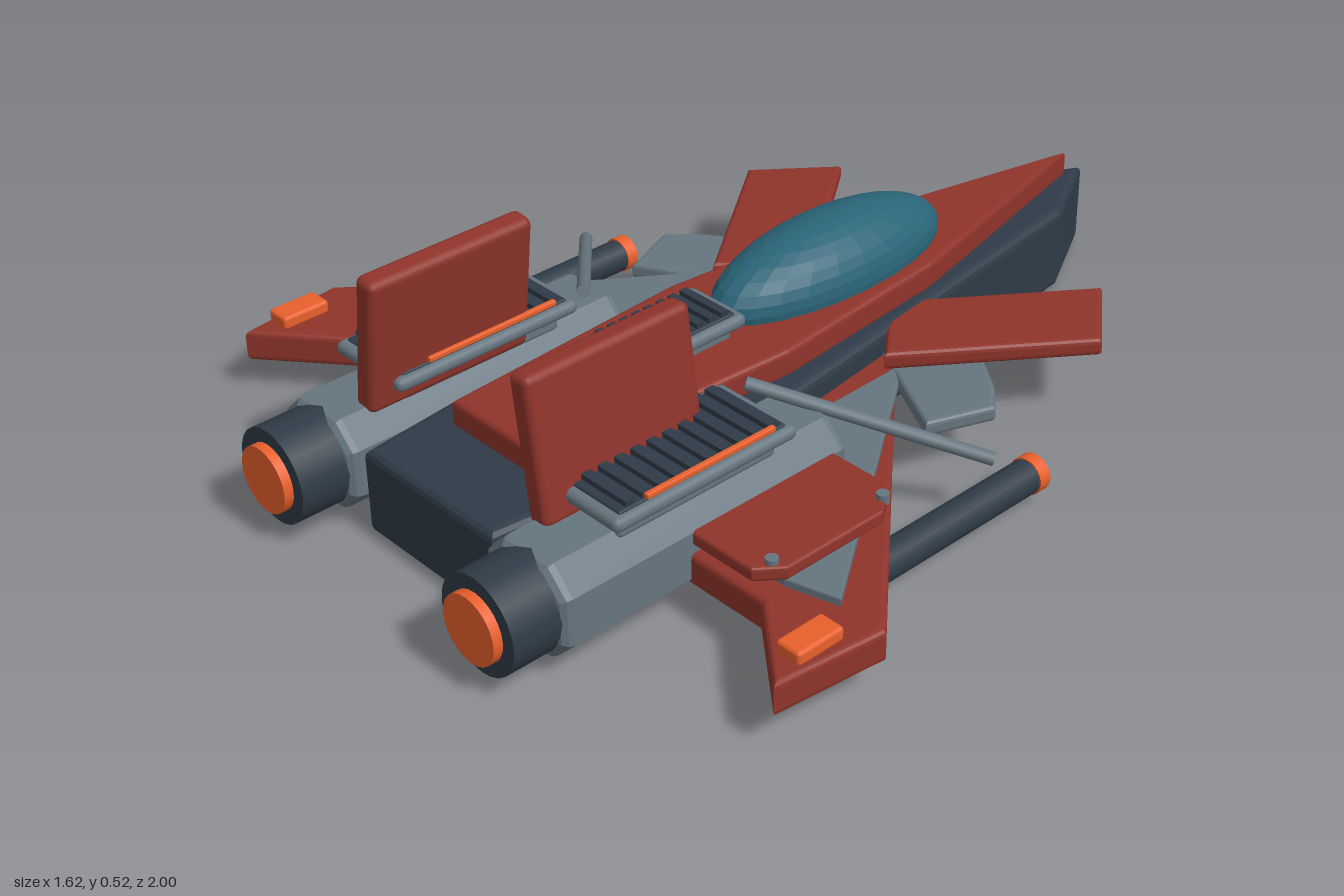
import * as THREE from 'three';
import { RoundedBoxGeometry } from 'three/addons/geometries/RoundedBoxGeometry.js';

const mat = (color, flatShading = false) => new THREE.MeshStandardMaterial({ color, flatShading });
const RED = mat(0x8f342b), DARK = mat(0x2f3b47), GREY = mat(0x66757f);
const ORANGE = mat(0xe8602c), GLASS = mat(0x2a6478, true);

export function createModel() {
  const model = new THREE.Group();

  const add = (name, geometry, material, x = 0, y = 0, z = 0) => {
    const mesh = new THREE.Mesh(geometry, material);
    mesh.name = name;
    mesh.position.set(x, y, z);
    model.add(mesh);
    return mesh;
  };

  // Bevelled extrusion whose outline stays at the given points
  const extrude = (points, depth, bevel) => new THREE.ExtrudeGeometry(
    new THREE.Shape(points.map(([x, y]) => new THREE.Vector2(x, y))),
    {
      depth: depth - 2 * bevel, bevelEnabled: true, bevelSize: bevel,
      bevelThickness: bevel, bevelOffset: -bevel, bevelSegments: 3,
    }).translate(0, 0, bevel);

  // Horizontal plate from (x, z) points, between two heights
  const plate = (name, points, y0, y1, bevel, material) =>
    add(name, extrude(points, y1 - y0, bevel).rotateX(Math.PI / 2), material, 0, y1, 0);

  // Outline mirrored across x = 0, starting with a point on the axis
  const symmetric = (pts) => [...pts, ...pts.slice(1).reverse().map(([x, z]) => [-x, z])];

  const box = (name, w, h, d, r, material, x, y, z) =>
    add(name, new RoundedBoxGeometry(w, h, d, 2, r), material, x, y, z);

  // Cylinder along z between z0 and z1
  const tubeZ = (name, r0, r1, z0, z1, material, x, y) =>
    add(name, new THREE.CylinderGeometry(r1, r0, z1 - z0, 24).rotateX(Math.PI / 2),
      material, x, y, (z0 + z1) / 2);

  // Framed grille with a row of slats
  const vent = (name, w, d, x, y, z, count) => {
    box(name + 'Frame', w, 0.03, d, 0.014, GREY, x, y, z);
    box(name + 'Bed', w - 0.03, 0.014, d - 0.04, 0.005, DARK, x, y + 0.013, z);
    const pitch = (d - 0.06) / count;
    for (let i = 0; i < count; i++) {
      add(name + 'Slat', new THREE.BoxGeometry(w - 0.04, 0.014, pitch * 0.55), DARK,
        x, y + 0.024, z + (i - (count - 1) / 2) * pitch);
    }
  };

  // Fuselage
  plate('hull', symmetric([[0, -1], [0.11, -0.8], [0.25, 0.3], [0.19, 0.85]]), 0, 0.195, 0.02, DARK);
  plate('deck', symmetric([[0, -0.94], [0.135, -0.35], [0.175, 0.1], [0.14, 0.68]]), 0.185, 0.25, 0.012, RED);
  add('canopy', new THREE.SphereGeometry(1, 24, 16).scale(0.12, 0.11, 0.312), GLASS, 0, 0.265, -0.18);
  box('dorsalVentBase', 0.12, 0.05, 0.26, 0.01, GREY, 0, 0.26, 0.275);
  vent('dorsalVent', 0.16, 0.31, 0, 0.285, 0.275, 8);
  box('dorsalLight', 0.04, 0.03, 0.09, 0.006, ORANGE, 0, 0.26, 0.45);

  for (const s of [1, -1]) {
    const side = (pts) => pts.map(([x, z]) => [s * x, z]);

    // Wing and its stacked panels
    plate('wing', side([[0.1, -0.29], [0.81, 0.49], [0.78, 0.73], [0.6, 0.585], [0.1, 0.585]]),
      0.07, 0.14, 0.012, RED);
    plate('wingInlay', side([[0.26, -0.11], [0.3, -0.08], [0.71, 0.5], [0.6, 0.53], [0.27, 0.5]]),
      0.135, 0.157, 0.004, GREY);
    plate('wingPanel', side([[0.3, 0.22], [0.56, 0.22], [0.61, 0.29], [0.61, 0.53], [0.57, 0.58], [0.3, 0.58]]),
      0.157, 0.187, 0.007, RED);
    for (const z of [0.26, 0.54]) {
      add('panelBolt', new THREE.CylinderGeometry(0.013, 0.013, 0.02, 12), GREY, s * 0.58, 0.187, z);
    }
    box('wingLight', 0.058, 0.03, 0.11, 0.008, ORANGE, s * 0.75, 0.155, 0.615);

    // Foreplanes
    plate('foreplate', side([[0.12, -0.39], [0.19, -0.39], [0.43, -0.22], [0.485, -0.16], [0.43, -0.02], [0.13, -0.18]]),
      0.112, 0.147, 0.01, GREY);
    plate('canard', side([[0.38, -0.61], [0.515, -0.445], [0.25, -0.09], [0.11, -0.25]]),
      0.153, 0.193, 0.012, RED);

    // Engine nacelle with chamfered section
    const c = 0.05;
    const section = [[0.11, 0.1 - c], [0.11 - c, 0.1], [c - 0.11, 0.1], [-0.11, 0.1 - c],
      [-0.11, c - 0.1], [c - 0.11, -0.1], [0.11 - c, -0.1], [0.11, c - 0.1]];
    add('nacelle', extrude(section, 0.7, 0.025), GREY, s * 0.31, 0.135, 0.18);
    tubeZ('nozzle', 0.1, 0.1, 0.85, 0.98, DARK, s * 0.31, 0.135);
    tubeZ('exhaustGlow', 0.07, 0.07, 0.97, 1, ORANGE, s * 0.31, 0.135);
    box('nacelleVentBase', 0.15, 0.05, 0.38, 0.01, GREY, s * 0.31, 0.245, 0.53);
    vent('nacelleVent', 0.21, 0.44, s * 0.31, 0.273, 0.53, 10);
    box('ventLight', 0.012, 0.012, 0.31, 0.003, ORANGE, s * 0.31 + 0.09, 0.298, 0.515);

    // Tail fin leaning inward
    box('tailFin', 0.054, 0.3, 0.38, 0.016, RED, s * 0.24, 0.372, 0.61).rotation.z = s * 0.13;

    // Underwing barrel
    tubeZ('barrel', 0.036, 0.036, -0.125, 0.47, DARK, s * 0.6, 0.058);
    tubeZ('barrelTip', 0.039, 0.039, -0.15, -0.122, ORANGE, s * 0.6, 0.058);

    // Strut from nacelle to wing front
    const a = new THREE.Vector3(s * 0.235, 0.28, 0.275), b = new THREE.Vector3(s * 0.595, 0.14, -0.03);
    const strut = add('strut', new THREE.CylinderGeometry(0.014, 0.014, a.distanceTo(b), 10), GREY);
    strut.position.lerpVectors(a, b, 0.5);
    strut.quaternion.setFromUnitVectors(new THREE.Vector3(0, 1, 0), b.clone().sub(a).normalize());
  }
  return model;
}
